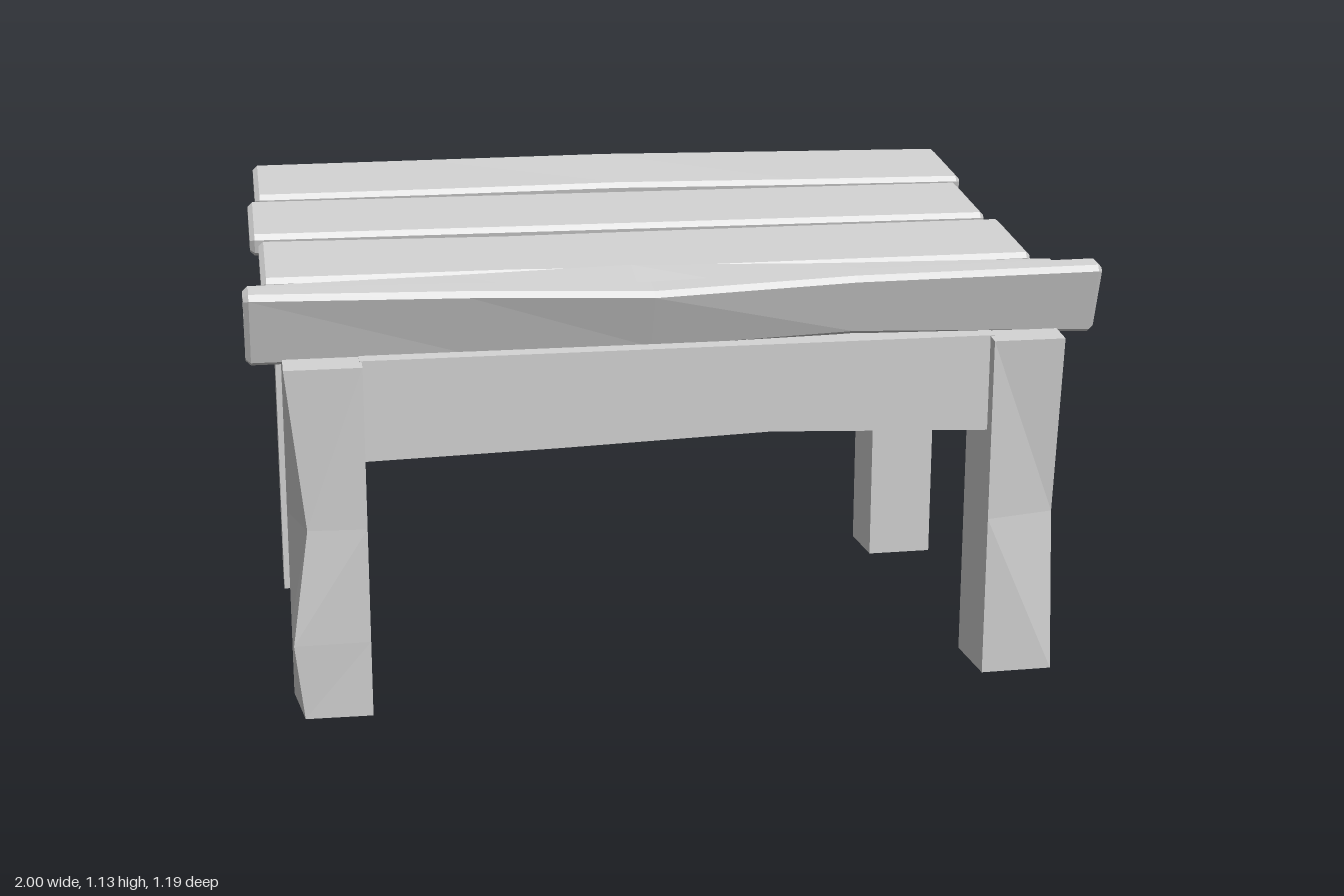
import * as THREE from 'three';

const material = new THREE.MeshStandardMaterial({ color: 0xcccccc, flatShading: true });
const SLOPE = 0.206;
const topLine = z => 0.95 - SLOPE * z; // underside of the sloping boards

// Skin a row of equal-length loops, close both ends, and face outwards
function loft(name, loops) {
  const tris = [];
  const n = loops[0].length;
  for (let i = 0; i < loops.length - 1; i++) {
    for (let j = 0; j < n; j++) {
      const k = (j + 1) % n;
      const a = loops[i][j], b = loops[i][k], c = loops[i + 1][k], d = loops[i + 1][j];
      tris.push([a, b, c], [a, c, d]);
    }
  }
  const last = loops[loops.length - 1];
  for (let j = 1; j < n - 1; j++) {
    tris.push([loops[0][0], loops[0][j + 1], loops[0][j]], [last[0], last[j], last[j + 1]]);
  }
  let volume = 0;
  for (const [a, b, c] of tris) volume += a.dot(b.clone().cross(c));
  const points = tris.flatMap(([a, b, c]) => (volume < 0 ? [a, c, b] : [a, b, c]));
  const geometry = new THREE.BufferGeometry().setFromPoints(points);
  geometry.computeVertexNormals();
  const mesh = new THREE.Mesh(geometry, material);
  mesh.name = name;
  return mesh;
}

// Bevelled board along x. (z, y) is the lower front corner, angle tilts the width.
// Stations: [x, front edge shift, back edge shift, lift of top back edge]
function board(name, { x0, x1, z, y, angle, width, thick, stations }) {
  const cos = Math.cos(angle), sin = Math.sin(angle), b = 0.012;
  const section = (x, [, f, r, lift], inset) => {
    const u0 = f + inset, u1 = width + r - inset, v0 = inset, v1 = thick - inset;
    const c = b - inset * 0.5;
    return [[u0 + c, v0], [u1 - c, v0], [u1, v0 + c], [u1, v1 - c + lift],
      [u1 - c, v1 + lift], [u0 + c, v1], [u0, v1 - c], [u0, v0 + c]]
      .map(([u, v]) => new THREE.Vector3(x, y + u * sin + v * cos, z - u * cos + v * sin));
  };
  const flat = [0, 0, 0, 0];
  return loft(name, [
    section(x0, flat, 0.01), section(x0 + 0.012, flat, 0),
    ...stations.map(s => section(s[0], s, 0)),
    section(x1 - 0.012, flat, 0), section(x1, flat, 0.01),
  ]);
}

// Leg: corners(i) gives [x, z] pairs at each height; the top follows the slope
function leg(name, heights, corners) {
  return loft(name, [...heights, null].map((h, i) =>
    corners(i).map(([x, z]) => new THREE.Vector3(x, h === null ? topLine(z) - 0.002 : h, z))));
}

// Apron from z1 to z0 and through the given [x, bottom] stations
function apronAlongX(name, z0, z1, stations) {
  return loft(name, stations.map(([x, low]) => [[z0, low], [z1, low], [z1, topLine(z1)], [z0, topLine(z0)]]
    .map(([z, y]) => new THREE.Vector3(x, y, z))));
}
function apronAlongZ(name, x0, x1, stations) {
  return loft(name, stations.map(([z, low]) => [[x0, low], [x1, low], [x1, topLine(z)], [x0, topLine(z)]]
    .map(([x, y]) => new THREE.Vector3(x, y, z))));
}

export function createModel() {
  const model = new THREE.Group();
  model.name = 'slopedBench';

  // Sloping seat boards, front to back
  const boards = [
    { x0: -1, x1: 1, z: 0.48, width: 0.25,
      stations: [[-0.5, 0, -0.005, 0.012], [-0.08, 0, -0.022, 0.03], [0.4, 0, 0, 0.008]] },
    { x0: -0.955, x1: 0.955, z: 0.212, width: 0.258,
      stations: [[-0.35, 0, -0.014, 0], [-0.1, -0.012, -0.01, 0], [0.4, -0.005, -0.004, 0]] },
    { x0: -0.975, x1: 0.93, z: -0.07, width: 0.253, stations: [] },
    { x0: -0.955, x1: 0.955, z: -0.347, width: 0.252,
      stations: [[-0.5, 0.007, 0, 0.004], [0, 0.022, 0, 0.009], [0.5, 0.007, 0, 0.004]] },
  ];
  boards.forEach((o, i) => model.add(board('seatBoard' + (i + 1),
    { ...o, y: topLine(o.z), angle: Math.atan(SLOPE), thick: 0.057 })));

  // Upright lip along the front edge
  model.add(board('frontLip', {
    x0: -1, x1: 1, z: 0.475, y: 0.837, angle: Math.PI - 1.29, width: 0.177, thick: 0.058,
    stations: [[-0.5, 0, -0.006, 0.008], [-0.08, 0, -0.02, 0.014], [0.4, 0.02, -0.006, 0]],
  }));

  // Front legs, each with a hewn outer front corner
  const cutRight = [0, 0.04, 0];
  model.add(leg('frontLegLeft', [0, 0.39], i => [
    [0.73, 0.42], [0.905, 0.42], [0.905, 0.595 - cutRight[i]], [0.73, 0.595]]));
  const cutLeft = [0.02, 0, 0.04, 0];
  model.add(leg('frontLegRight', [0, 0.18, 0.45], i => [
    [-0.745, 0.42], [-0.92, 0.42], [-0.92 + cutLeft[i], 0.595 - cutLeft[i] * 0.3], [-0.745, 0.595]]));

  // Rear legs with chamfered outer back corner
  const chamfer = [0.055, 0.07, 0.055];
  for (const [name, inner, outer] of [['rearLegLeft', 0.73, 0.905], ['rearLegRight', -0.745, -0.92]]) {
    const s = Math.sign(outer);
    model.add(leg(name, [0, 0.55], i => [
      [inner, -0.36], [outer, -0.36], [outer, -0.475],
      [outer - s * chamfer[i], -0.53], [inner, -0.53]]));
  }

  // Aprons between the legs
  model.add(apronAlongX('frontApron', 0.455, 0.565,
    [[-0.75, 0.6], [-0.3, 0.61], [0.2, 0.625], [0.74, 0.603]]));
  model.add(apronAlongX('rearApron', -0.505, -0.395, [[-0.75, 0.6], [0.74, 0.6]]));
  model.add(apronAlongZ('sideApronLeft', 0.765, 0.875, [[0.43, 0.6], [-0.37, 0.6]]));
  model.add(apronAlongZ('sideApronRight', -0.89, -0.78,
    [[0.43, 0.602], [0.2, 0.635], [-0.08, 0.65], [-0.37, 0.602]]));

  return model;
}
